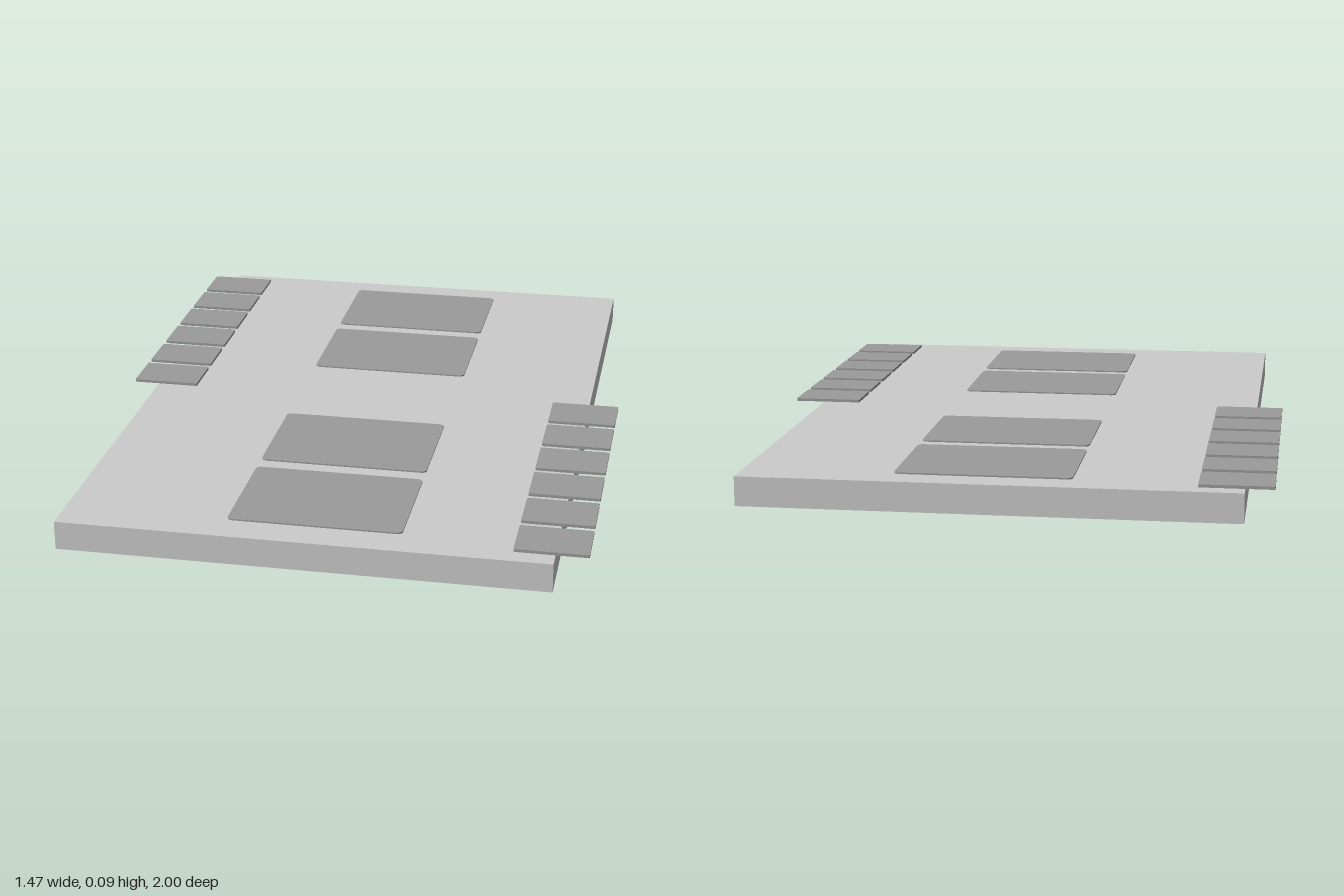
import * as THREE from 'three';

const SLAB_TOP = 0.079;
const slabMaterial = new THREE.MeshStandardMaterial({ color: 0xcccccc });
const plateMaterial = new THREE.MeshStandardMaterial({ color: 0x9b9b9b });

// Thin plate with rounded corners, lying flat on the slab
function makePlate(name, width, depth, height, radius, x, z) {
  const w = width / 2, d = depth / 2, r = radius;
  const shape = new THREE.Shape();
  shape.absarc(w - r, d - r, r, 0, Math.PI / 2);
  shape.absarc(-w + r, d - r, r, Math.PI / 2, Math.PI);
  shape.absarc(-w + r, -d + r, r, Math.PI, Math.PI * 1.5);
  shape.absarc(w - r, -d + r, r, Math.PI * 1.5, Math.PI * 2);
  const geometry = new THREE.ExtrudeGeometry(shape, { depth: height, bevelEnabled: false, curveSegments: 4 });
  geometry.rotateX(-Math.PI / 2);
  const plate = new THREE.Mesh(geometry, plateMaterial);
  plate.name = name;
  plate.position.set(x, SLAB_TOP, z);
  return plate;
}

export function createModel() {
  const model = new THREE.Group();
  model.name = 'slabWithPlates';

  // Base slab
  const slab = new THREE.Mesh(new THREE.BoxGeometry(1.31, SLAB_TOP, 2), slabMaterial);
  slab.name = 'baseSlab';
  slab.position.set(-0.007, SLAB_TOP / 2, 0);
  model.add(slab);

  // Two pairs of large panels along the middle
  const panels = new THREE.Group();
  panels.name = 'centrePanels';
  [-0.749, -0.366, 0.354, 0.738].forEach((z, i) => {
    panels.add(makePlate(`panel${i + 1}`, 0.467, 0.334, 0.004, 0.015, 0.013, z));
  });
  model.add(panels);

  // Rows of six tabs overhanging opposite long edges
  for (const [name, x, firstZ] of [['rightTabs', -0.64, -0.883], ['leftTabs', 0.637, 0.041]]) {
    const row = new THREE.Group();
    row.name = name;
    for (let i = 0; i < 6; i++) {
      row.add(makePlate(`tab${i + 1}`, 0.194, 0.14, 0.008, 0.003, x, firstZ + i * 0.1675));
    }
    model.add(row);
  }
  return model;
}
